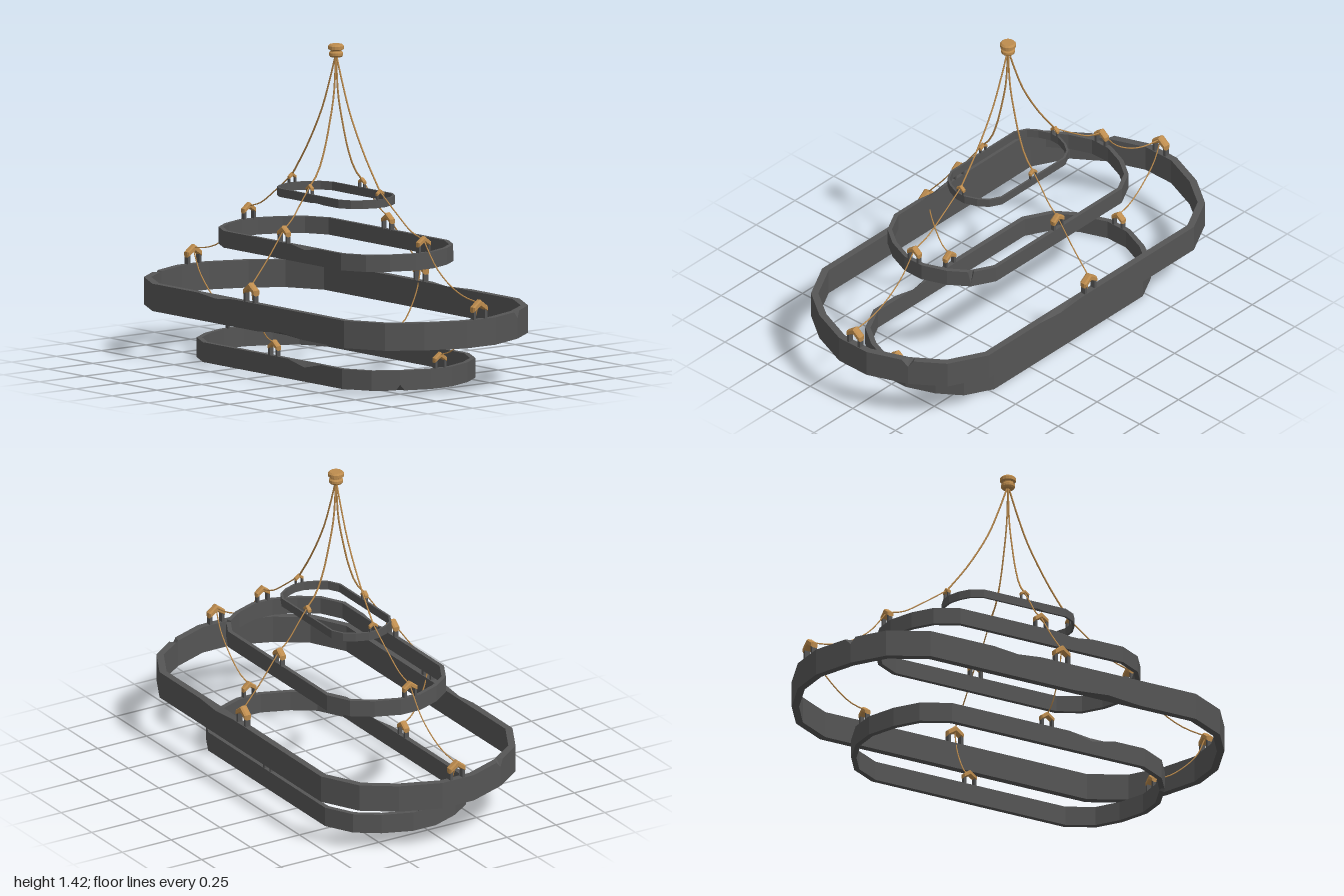
import * as THREE from 'three';

// Quarter outline of the largest hoop, mirrored into a full 16-sided stadium
const Q = [[0.66, 0.49], [0.83, 0.4], [0.93, 0.26], [1, 0.08]];
const HALF = [...Q, ...[...Q].reverse().map(([x, z]) => [x, -z])];
const OUTLINE = [...HALF, ...HALF.map(([x, z]) => [-x, -z])];

// Hoops: size, base height, hook size, chips [outline position, half width, depth, on top edge]
const HOOPS = [
  { name: 'bottomHoop', s: 0.725, y: 0, hook: 0.82, chips: [[15.73, 0.12, 0.025, true], [2, 0.15, 0.025, false]] },
  { name: 'largeHoop', s: 1, y: 0.215, hook: 1, chips: [[15.33, 0.09, 0.012, true], [15.67, 0.12, 0.014, false],
    [5, 0.15, 0.03, true], [13, 0.15, 0.03, true], [7.35, 0.1, 0.012, true]] },
  { name: 'middleHoop', s: 0.612, y: 0.506, hook: 0.85, chips: [[15.69, 0.12, 0.015, true], [6, 0.12, 0.06, true]] },
  { name: 'topHoop', s: 0.308, y: 0.739, hook: 0.52, chips: [[15.65, 0.1, 0.006, false]] },
];
const HEIGHT = 0.12, WALL = 0.032;

function outlineAt(t) {
  const i = Math.floor(t) % 16, f = t - Math.floor(t);
  const a = OUTLINE[i], b = OUTLINE[(i + 1) % 16];
  return [a[0] + (b[0] - a[0]) * f, a[1] + (b[1] - a[1]) * f];
}

// Rectangular band following the outline, with chips cut into its outer edges
function hoopGeometry({ s, chips }) {
  const h = HEIGHT * s;
  const ts = OUTLINE.map((_, i) => i);
  for (const [t, w] of chips) ts.push(t - w, t, t + w);
  const stations = [...new Set(ts)].sort((a, b) => a - b).map((t) => {
    const [x, z] = outlineAt(t);
    const cx = THREE.MathUtils.clamp(x, -0.51, 0.51);
    const k = 1 - WALL / Math.hypot(x - cx, z);
    const ix = cx + (x - cx) * k, iz = z * k;
    let top = h, low = 0;
    for (const [ct, , d, onTop] of chips) if (ct === t) { if (onTop) top -= d; else low += d; }
    return [[x * s, top, z * s], [ix * s, h, iz * s], [ix * s, 0, iz * s], [x * s, low, z * s]];
  });
  const pos = [];
  stations.forEach((p, i) => {
    const q = stations[(i + 1) % stations.length];
    for (let j = 0; j < 4; j++) {
      const k = (j + 1) % 4;
      for (const v of [p[j], q[j], q[k], p[j], q[k], p[k]]) pos.push(...v);
    }
  });
  const g = new THREE.BufferGeometry();
  g.setAttribute('position', new THREE.Float32BufferAttribute(pos, 3));
  g.computeVertexNormals();
  return g;
}

// Bevelled chevron that caps each hook
function capGeometry() {
  const pts = [[-0.036, 0.036], [-0.036, 0.052], [0, 0.079], [0.036, 0.052], [0.036, 0.036], [0, 0.06]];
  const shape = new THREE.Shape(pts.map(([x, y]) => new THREE.Vector2(x, y)));
  const g = new THREE.ExtrudeGeometry(shape, {
    depth: 0.018, bevelEnabled: true, bevelThickness: 0.008, bevelSize: 0.005, bevelSegments: 1,
  });
  g.translate(0, 0, -0.009);
  return g;
}

export function createModel() {
  const iron = new THREE.MeshStandardMaterial({ color: 0x555555 });
  iron.name = 'darkIron';
  const brass = new THREE.MeshStandardMaterial({ color: 0xbd8c4e });
  brass.name = 'brass';
  const model = new THREE.Group();
  model.name = 'tieredChandelier';
  const add = (parent, geometry, material, name) => {
    const m = new THREE.Mesh(geometry, material);
    m.name = name;
    parent.add(m);
    return m;
  };

  // Hoops, each with four hooks
  const cap = capGeometry();
  const leg = new THREE.BoxGeometry(0.013, 0.055, 0.024);
  for (const hoop of HOOPS) {
    const tier = new THREE.Group();
    tier.name = hoop.name;
    tier.position.y = hoop.y;
    add(tier, hoopGeometry(hoop), iron, 'band');
    for (let i = 0; i < 4; i++) {
      const hook = new THREE.Group();
      hook.name = 'hook';
      const a = i * Math.PI / 2;
      const r = (i % 2 ? 0.984 : 0.474) * hoop.s;
      hook.position.set(Math.sin(a) * r, HEIGHT * hoop.s, Math.cos(a) * r);
      hook.rotation.y = a;
      hook.scale.setScalar(hoop.hook);
      add(hook, cap, brass, 'hookCap');
      for (const side of [-1, 1]) add(hook, leg, iron, 'hookLeg').position.set(side * 0.031, 0.0225, 0);
      tier.add(hook);
    }
    model.add(tier);
  }

  // Sagging cables from the canopy down over the hooks, as [outward, height]
  const sideRuns = [
    [[0, 1.38], [0.05, 1.24], [0.1, 1.12], [0.2, 0.95], [0.303, 0.81]],
    [[0.303, 0.81], [0.42, 0.725], [0.52, 0.66], [0.603, 0.635]],
    [[0.603, 0.635], [0.69, 0.525], [0.79, 0.455], [0.88, 0.42], [0.984, 0.405]],
    [[0.984, 0.405], [0.94, 0.305], [0.85, 0.21], [0.78, 0.163], [0.714, 0.145]],
  ];
  const frontRuns = [
    [[0, 1.38], [0.012, 1.2], [0.035, 1.08], [0.068, 0.95], [0.105, 0.86], [0.146, 0.81]],
    [[0.146, 0.81], [0.19, 0.75], [0.245, 0.675], [0.29, 0.635]],
    [[0.29, 0.635], [0.335, 0.575], [0.38, 0.515], [0.435, 0.45], [0.474, 0.405]],
    [[0.474, 0.405], [0.455, 0.305], [0.415, 0.215], [0.38, 0.165], [0.344, 0.145]],
  ];
  for (let i = 0; i < 4; i++) {
    const a = i * Math.PI / 2;
    (i % 2 ? sideRuns : frontRuns).forEach((run, n) => {
      const pts = run.map(([r, y]) => new THREE.Vector3(Math.sin(a) * r, y, Math.cos(a) * r));
      const path = new THREE.CatmullRomCurve3(pts);
      add(model, new THREE.TubeGeometry(path, 12, n ? 0.003 : 0.004, 6), brass, 'cable');
    });
  }

  // Grooved ceiling canopy
  const profile = [[0, 1.365], [0.026, 1.365], [0.031, 1.372], [0.031, 1.383], [0.025, 1.389],
    [0.025, 1.394], [0.035, 1.399], [0.035, 1.413], [0.028, 1.42], [0, 1.42]];
  const canopy = new THREE.LatheGeometry(profile.map(([x, y]) => new THREE.Vector2(x, y)), 16).toNonIndexed();
  canopy.computeVertexNormals();
  add(model, canopy, brass, 'canopy');

  return model;
}
